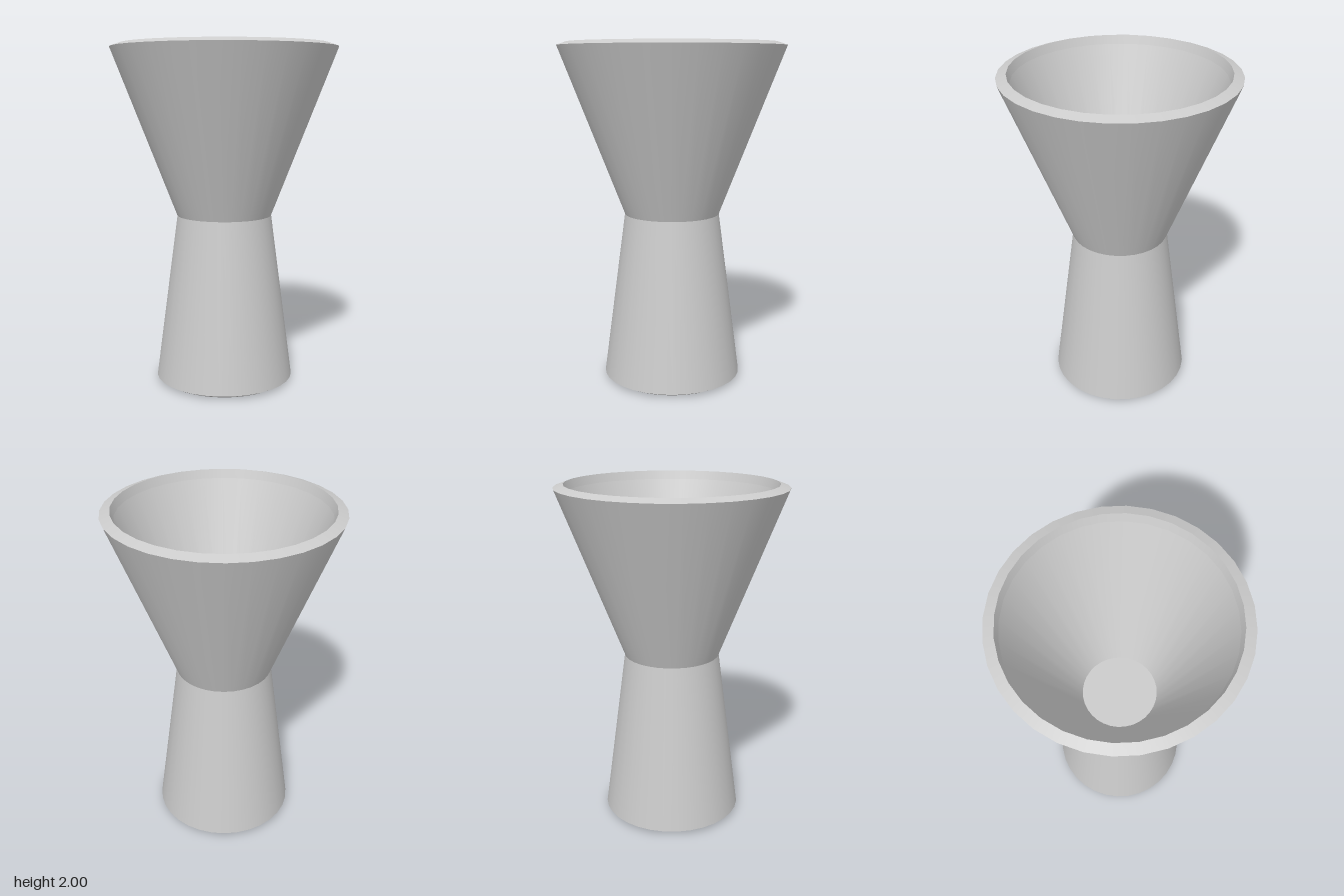
import * as THREE from 'three';
import { mergeGeometries } from 'three/addons/utils/BufferGeometryUtils.js';

const SIDES = 32;
const material = new THREE.MeshStandardMaterial({ color: 0xcccccc });

// Revolves each profile segment on its own: smooth around, sharp between bands
function turned(name, profile) {
  const bands = [];
  for (let i = 0; i < profile.length - 1; i++) {
    const points = [profile[i], profile[i + 1]].map(([r, y]) => new THREE.Vector2(r, y));
    bands.push(new THREE.LatheGeometry(points, SIDES));
  }
  const mesh = new THREE.Mesh(mergeGeometries(bands), material);
  mesh.name = name;
  return mesh;
}

export function createModel() {
  const group = new THREE.Group();
  group.name = 'doubleCup';

  // Large cup: outer wall, bevelled rim, inner lip, inner wall, floor
  group.add(turned('largeCup', [
    [0.28, 1.0], [0.66, 1.98], [0.603, 2.0], [0.587, 1.95], [0.22, 1.03], [0, 1.03],
  ]));

  // Small cup, opening downward: floor, inner wall, inner lip, bevelled rim, outer wall
  group.add(turned('smallCup', [
    [0, 0.97], [0.235, 0.97], [0.362, 0.05], [0.372, 0], [0.41, 0.02], [0.28, 1.0],
  ]));

  return group;
}
